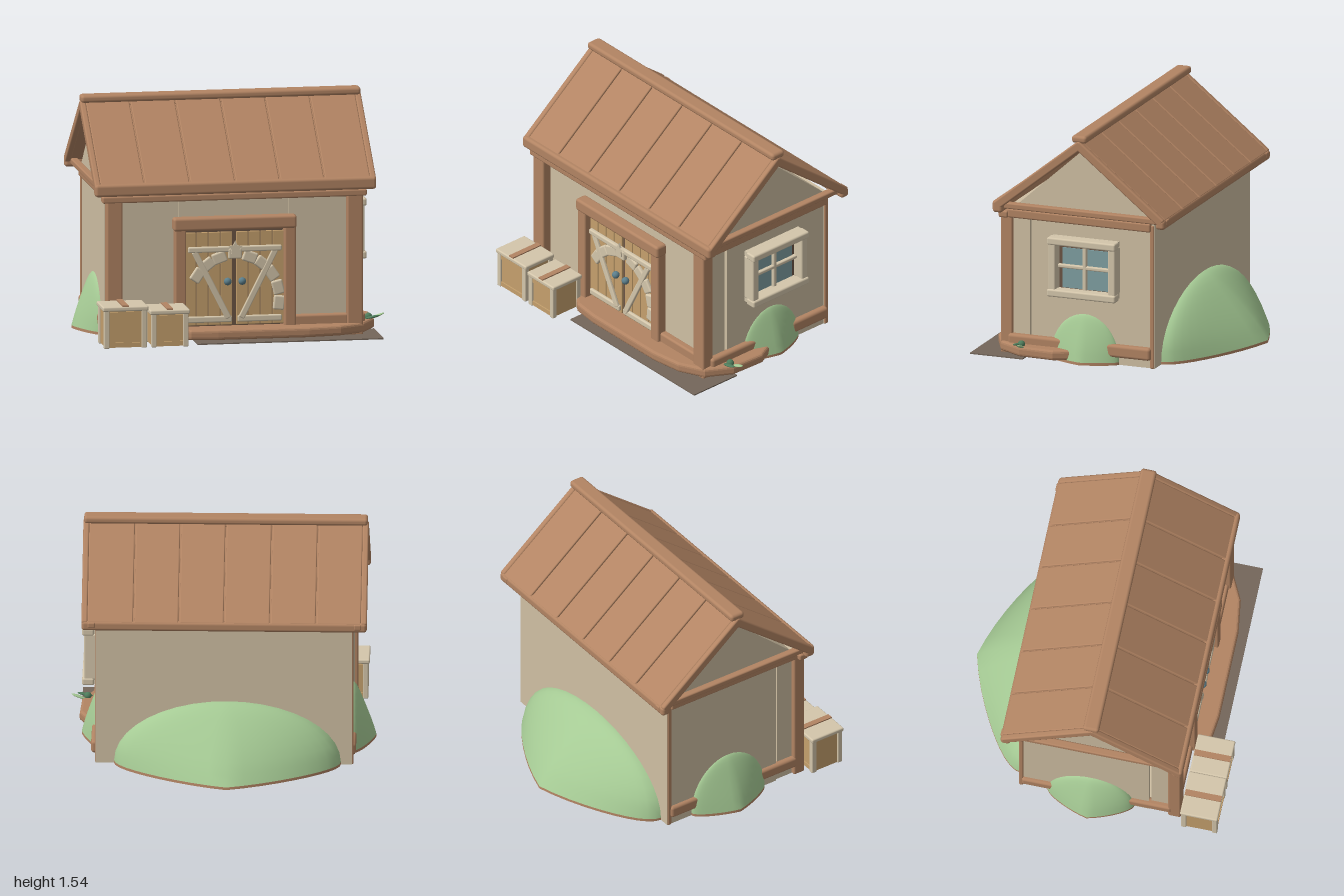
import * as THREE from 'three';
import { RoundedBoxGeometry } from 'three/addons/geometries/RoundedBoxGeometry.js';

const paint = (name, color, side = THREE.FrontSide) => {
  const m = new THREE.MeshStandardMaterial({ color, side });
  m.name = name;
  return m;
};

export function createModel() {
  const model = new THREE.Group();
  model.name = 'cottage';

  const brown = paint('brown timber', 0xb28463);
  const plaster = paint('beige plaster', 0xcfbfa3);
  const trim = paint('pale trim', 0xd4c6ab);
  const tan = paint('tan planks', 0xc5a06d);
  const dark = paint('dark brown', 0x6b5444);
  const glass = paint('blue glass', 0x7f9fa2);
  const green = paint('bush green', 0xa5ca94, THREE.DoubleSide);
  const leafGreen = paint('dark leaf', 0x4f7d5c);
  const metal = paint('blue metal', 0x5c7f8c);
  const slab = paint('grey paving', 0x74665a);

  const add = (name, geo, mat, parent = model) => {
    const mesh = new THREE.Mesh(geo, mat);
    mesh.name = name;
    parent.add(mesh);
    return mesh;
  };
  // Box given by its limits; r rounds the edges
  const box = (name, mat, x0, x1, y0, y1, z0, z1, r = 0, parent = model) => {
    const d = [x1 - x0, y1 - y0, z1 - z0];
    const geo = r ? new RoundedBoxGeometry(...d, 2, Math.min(r, Math.min(...d) * 0.45)) : new THREE.BoxGeometry(...d);
    const mesh = add(name, geo, mat, parent);
    mesh.position.set((x0 + x1) / 2, (y0 + y1) / 2, (z0 + z1) / 2);
    return mesh;
  };

  // Ground and walls
  box('paving', slab, -0.3, 0.93, 0, 0.008, 0.43, 0.8);
  box('floor', plaster, -0.84, 0.81, 0.002, 0.05, -0.44, 0.56);
  box('backWall', plaster, -0.85, 0.82, 0, 1.0, -0.45, -0.42);
  box('leftSideWall', plaster, 0.78, 0.81, 0, 1.0, -0.44, 0.415);
  box('rightSideWall', plaster, -0.85, -0.82, 0, 1.0, -0.44, 0.415);
  for (const [a, b] of [[-0.84, -0.386], [-0.384, 0.339], [0.341, 0.805]])
    box('frontWall', plaster, a, b, 0.03, 1.0, 0.43, 0.57);

  // Corner posts, wall beams and bottom logs
  for (const x of [-0.87, 0.72]) box('frontPost', brown, x, x + 0.105, 0, 0.96, 0.545, 0.63, 0.012);
  for (const x of [-0.86, 0.795]) box('backPost', brown, x, x + 0.03, 0, 0.97, -0.449, -0.42, 0.008);
  for (const x of [-0.875, 0.79]) {
    box('sideBeam', brown, x, x + 0.055, 0.925, 0.985, -0.43, 0.57, 0.012);
    box('sideLog', brown, x, x + 0.06, 0.055, 0.14, -0.43, -0.12, 0.02);
    box('sideLog', brown, x, x + 0.06, 0.06, 0.14, 0.17, 0.57, 0.02);
  }
  box('frontBeam', brown, -0.9, 0.85, 0.922, 0.968, 0.57, 0.635, 0.012);
  for (const [a, b] of [[-0.77, -0.41], [0.37, 0.73]]) box('frontLog', brown, a, b, 0.06, 0.145, 0.56, 0.615, 0.015);

  // Gable walls as one prism under the roof
  const tri = new THREE.Shape([[-0.54, 0.99], [0.44, 0.99], [-0.05, 1.43]].map(p => new THREE.Vector2(...p)));
  const gable = add('gable', new THREE.ExtrudeGeometry(tri, { depth: 1.67, bevelEnabled: false }), plaster);
  gable.rotation.y = Math.PI / 2;
  gable.position.x = -0.855;

  // Roof slopes: planks, under-sheet and rake boards
  const seams = [-0.915, -0.62, -0.32, -0.02, 0.275, 0.57, 0.875];
  const run = 0.6, drop = 0.48, length = Math.hypot(run, drop);
  for (const s of [1, -1]) {
    const slope = new THREE.Group();
    slope.name = s > 0 ? 'frontSlope' : 'backSlope';
    slope.position.set(0, 1.51 - drop / 2, 0.05 + s * run / 2);
    slope.rotation.x = s * Math.atan2(drop, run);
    const h = length / 2;
    for (let i = 0; i < 6; i++)
      box('roofPlank', brown, seams[i] + 0.004, seams[i + 1] - 0.004, -0.035, 0, -h, h, 0.008, slope);
    box('roofSheet', brown, -0.93, 0.89, -0.045, -0.014, -h, h, 0, slope);
    for (const x of [-0.95, 0.87]) box('rakeBoard', brown, x, x + 0.04, -0.055, 0.004, -h, h, 0.012, slope);
    model.add(slope);
  }
  box('ridgeCap', brown, -0.945, 0.905, 1.495, 1.545, -0.005, 0.1, 0.02);
  box('frontEave', brown, -0.95, 0.91, 0.968, 1.05, 0.585, 0.655, 0.02);
  box('backEave', brown, -0.95, 0.91, 0.97, 1.035, -0.555, -0.49, 0.02);
  for (const x of [-0.915, 0.82]) box('tieBeam', brown, x, x + 0.05, 0.99, 1.03, -0.56, 0.62, 0.01);

  // Door frame
  for (const x of [-0.42, 0.305]) box('doorPost', brown, x, x + 0.075, 0.06, 0.74, 0.56, 0.635, 0.012);
  box('doorLintel', brown, -0.43, 0.385, 0.725, 0.812, 0.56, 0.647, 0.018);

  // Double door: dark backing, planks, pale braces and knobs
  const cx = -0.02;
  box('doorBacking', dark, -0.35, 0.31, 0.07, 0.73, 0.565, 0.574);
  for (const s of [-1, 1]) {
    for (let i = 0; i < 4; i++) {
      const x = cx + s * (0.052 + i * 0.08);
      box('doorPlank', tan, x - 0.038, x + 0.038, 0.09, 0.705, 0.572, 0.588, 0.004);
    }
    const brace = add('diagonalBrace', new RoundedBoxGeometry(0.04, 0.5, 0.022, 2, 0.008), trim);
    brace.position.set(cx + s * 0.155, 0.36, 0.604);
    brace.rotation.z = -s * 0.47;
    const knob = add('doorKnob', new THREE.SphereGeometry(0.025, 16, 12), metal);
    knob.position.set(cx + s * 0.048, 0.38, 0.61);
    box('lowerBrace', trim, cx + s * 0.165 - 0.147, cx + s * 0.165 + 0.147, 0.11, 0.152, 0.585, 0.61, 0.01);
  }
  box('upperBrace', trim, -0.33, 0.29, 0.575, 0.613, 0.588, 0.618, 0.01);

  // Stone arch around the door
  for (const deg of [-6, 14, 34, 52, 70, 110, 128, 146]) {
    const a = deg * Math.PI / 180;
    const stone = add('archStone', new RoundedBoxGeometry(0.075, 0.095, 0.03, 2, 0.012), trim);
    stone.position.set(cx + 0.295 * Math.cos(a), 0.26 + 0.295 * Math.sin(a), 0.597);
    stone.rotation.z = a;
  }
  box('keystone', trim, cx - 0.045, cx + 0.045, 0.53, 0.6, 0.588, 0.622, 0.01);
  const star = new THREE.Shape();
  for (let i = 0; i < 10; i++) {
    const r = i % 2 ? 0.024 : 0.05, a = Math.PI / 2 + i * Math.PI / 5;
    star[i ? 'lineTo' : 'moveTo'](r * Math.cos(a), r * Math.sin(a));
  }
  add('starOrnament', new THREE.ExtrudeGeometry(star, { depth: 0.015, bevelEnabled: false }), trim)
    .position.set(cx, 0.6, 0.615);

  // Side window
  box('windowRecess', dark, 0.8, 0.82, 0.48, 0.8, -0.16, 0.22);
  box('windowGlass', glass, 0.81, 0.828, 0.49, 0.76, -0.13, 0.19);
  for (const y of [0.44, 0.79]) box('windowRail', trim, 0.835, 0.913, y, y + 0.05, -0.21, 0.27, 0.012);
  for (const z of [-0.205, 0.215]) box('windowStile', trim, 0.805, 0.9, 0.48, 0.8, z, z + 0.05, 0.01);
  for (const y of [0.45, 0.8]) box('windowLining', trim, 0.805, 0.86, y, y + 0.035, -0.2, 0.26);
  box('windowMuntin', trim, 0.82, 0.85, 0.48, 0.8, 0.017, 0.043, 0.008);
  box('windowMuntin', trim, 0.82, 0.85, 0.625, 0.65, -0.16, 0.22, 0.008);

  // Porch step that wraps round the corner
  const edge = [[-0.38, 0.5], [-0.39, 0.65], [-0.32, 0.7], [-0.15, 0.72], [0.45, 0.72], [0.66, 0.69], [0.82, 0.61],
    [0.91, 0.45], [0.92, 0.22], [0.88, 0.14], [0.78, 0.16], [0.78, 0.5]];
  const step = new THREE.Shape(edge.map(([x, z]) => new THREE.Vector2(x, -z)));
  const porch = add('porchStep', new THREE.ExtrudeGeometry(step,
    { depth: 0.028, bevelThickness: 0.02, bevelSize: 0.018, bevelSegments: 3 }), brown);
  porch.rotation.x = -Math.PI / 2;
  porch.position.y = 0.035;

  // Half-dome bushes against the walls
  const bush = (name, x, z, turn, halfWidth, height, depth) => {
    const g = new THREE.Group();
    g.name = name;
    const shape = geo => {
      const p = geo.attributes.position;
      for (let i = 0; i < p.count; i++)
        p.setZ(i, p.getZ(i) * (1 - 0.55 * Math.max(0, p.getY(i))) * (1 - 0.4 * Math.abs(p.getX(i))));
      geo.scale(halfWidth, 1, depth);
      return geo;
    };
    const dome = shape(new THREE.SphereGeometry(1, 20, 10, 0, Math.PI, 0, Math.PI / 2)).scale(1, height - 0.018, 1);
    dome.computeVertexNormals();
    add('foliage', dome, green, g).position.y = 0.018;
    const soil = shape(new THREE.CylinderGeometry(1, 1, 0.018, 20, 1, false, -Math.PI / 2, Math.PI));
    soil.computeVertexNormals();
    add('soil', soil, brown, g).position.y = 0.009;
    g.position.set(x, 0, z);
    g.rotation.y = turn;
    model.add(g);
  };
  bush('backBush', -0.04, -0.445, Math.PI, 0.74, 0.44, 0.455);
  bush('leftBush', 0.805, 0.04, Math.PI / 2, 0.24, 0.32, 0.115);
  bush('rightBush', -0.845, 0.03, -Math.PI / 2, 0.29, 0.37, 0.155);

  // Crates: tan panels, pale posts and lid, brown strap
  const crate = (x0, x1, h) => {
    const g = new THREE.Group();
    g.name = 'crate';
    const z0 = 0.645, z1 = 0.885, t = 0.035, mid = (x0 + x1) / 2;
    box('panel', tan, x0 + 0.02, x1 - 0.02, 0.012, h - 0.03, z0 + 0.012, z1 - 0.014, 0, g);
    for (const x of [x0 + 0.01, x1 - 0.01 - t])
      for (const z of [z0, z1 - t]) box('cornerPost', trim, x, x + t, 0.008, h - 0.03, z, z + t, 0.006, g);
    for (const z of [z0 + 0.005, z1 - 0.02]) {
      box('bottomRail', tan, x0 + 0.04, x1 - 0.04, 0.015, 0.045, z, z + 0.015, 0, g);
      box('topRail', tan, x0 + 0.04, x1 - 0.04, h - 0.07, h - 0.04, z, z + 0.015, 0, g);
    }
    box('lid', trim, x0, x1, h - 0.035, h - 0.004, z0 - 0.005, z1 + 0.005, 0.01, g);
    box('strap', brown, mid - 0.02, mid + 0.02, h - 0.01, h + 0.004, z0, z1, 0, g);
    model.add(g);
  };
  crate(-0.942, -0.64, 0.288);
  crate(-0.63, -0.365, 0.258);

  // Sprig on the porch corner
  const tuft = add('sprigTuft', new THREE.SphereGeometry(0.025, 12, 8), leafGreen);
  tuft.position.set(0.89, 0.092, 0.455);
  for (const [z, tilt] of [[0.44, 0.35], [0.48, 0.2]]) {
    const leaf = add('sprigLeaf', new THREE.SphereGeometry(1, 12, 8), z < 0.46 ? green : leafGreen);
    leaf.scale.set(0.052, 0.008, 0.018);
    leaf.position.set(0.948 - (z - 0.44), 0.092, z);
    leaf.rotation.z = tilt;
  }
  return model;
}
